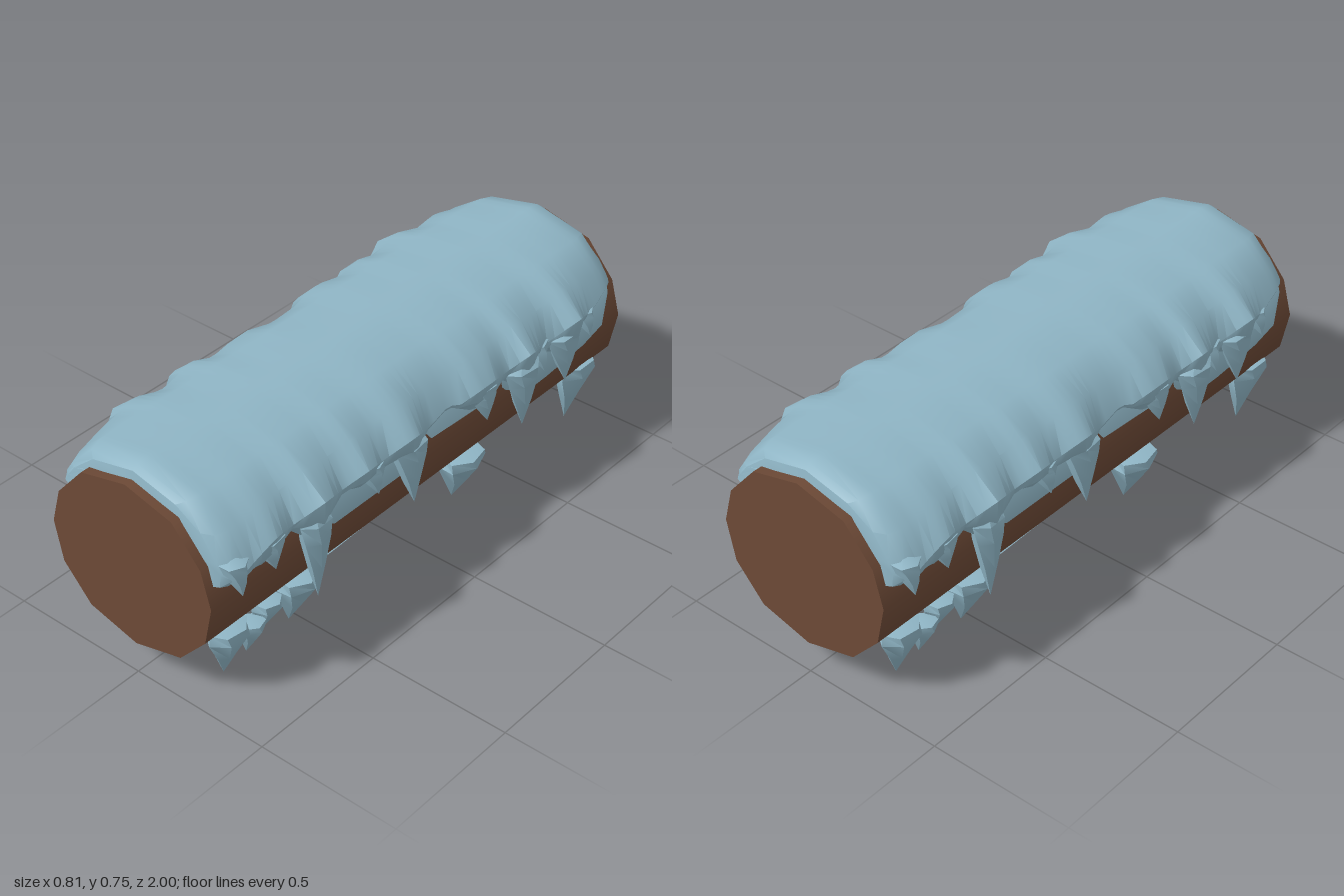
import * as THREE from 'three';
import { mergeVertices, toCreasedNormals } from 'three/addons/utils/BufferGeometryUtils.js';

const iceMat = new THREE.MeshStandardMaterial({ color: 0x8fb5c5, side: THREE.DoubleSide });
iceMat.name = 'ice';
const barkMat = new THREE.MeshStandardMaterial({ color: 0x6c4936 });
barkMat.name = 'bark';

// Right half of the log's outline, top to bottom
const LOG = [[0, 0.71], [0.18, 0.665], [0.285, 0.545], [0.32, 0.42], [0.29, 0.28], [0.185, 0.165], [0, 0.117]];

// Ice rim on the +x side: [z, half width, lower edge height]; the other side is this one turned half round
const RIM = [[-0.97, 0.31, 0.56], [-0.85, 0.34, 0.55], [-0.72, 0.37, 0.53], [-0.65, 0.403, 0.47], [-0.55, 0.35, 0.5],
  [-0.47, 0.37, 0.53], [-0.4, 0.403, 0.46], [-0.32, 0.355, 0.52], [-0.24, 0.375, 0.47], [-0.15, 0.38, 0.5], [-0.05, 0.34, 0.55],
  [0.06, 0.35, 0.53], [0.16, 0.39, 0.47], [0.2, 0.39, 0.52], [0.29, 0.36, 0.5], [0.39, 0.39, 0.52], [0.47, 0.36, 0.53],
  [0.6, 0.403, 0.45], [0.69, 0.36, 0.53], [0.79, 0.38, 0.48], [0.87, 0.37, 0.49], [0.97, 0.38, 0.48]];

// Linear lookup in a table sorted by column a
function lookup(table, v, a, b) {
  const up = table[0][a] < table[table.length - 1][a];
  for (let i = 0; i < table.length - 1; i++) {
    const p = table[i], q = table[i + 1];
    if (up ? v <= q[a] : v >= q[a]) {
      const t = THREE.MathUtils.clamp((v - p[a]) / (q[a] - p[a]), 0, 1);
      return p[b] + (q[b] - p[b]) * t;
    }
  }
  return table[table.length - 1][b];
}
const logX = y => lookup(LOG, y, 1, 0);

// Skin through rows of [x, y, z] points
function skin(rows, crease) {
  const n = rows[0].length, index = [];
  for (let r = 0; r < rows.length - 1; r++)
    for (let i = 0; i < n - 1; i++) {
      const a = r * n + i, c = a + n;
      index.push(a, a + 1, c, a + 1, c + 1, c);
    }
  const g = new THREE.BufferGeometry();
  g.setAttribute('position', new THREE.Float32BufferAttribute(rows.flat(2), 3));
  g.setIndex(index);
  return toCreasedNormals(mergeVertices(g), crease);
}

function add(group, name, geometry, material) {
  const mesh = new THREE.Mesh(geometry, material);
  mesh.name = name;
  group.add(mesh);
}

function makeLog() {
  const outline = [...LOG, ...LOG.slice(1, -1).reverse().map(([x, y]) => [-x, y])];
  const shape = new THREE.Shape(outline.map(p => new THREE.Vector2(...p)));
  const g = new THREE.ExtrudeGeometry(shape, { depth: 2, bevelEnabled: false });
  g.translate(0, 0, -1);
  g.deleteAttribute('uv');
  return toCreasedNormals(g, 0.65);
}

// One half of the cover's section, from the log under the rim up to the crown;
// close runs from 0 (full thickness) to 1 (lying on the log)
function halfSection(z, close) {
  const w = lookup(RIM, z, 0, 1), low = lookup(RIM, z, 0, 2);
  const drop = 0.05 * THREE.MathUtils.smoothstep(Math.abs(z), 0.75, 0.95);
  const widest = Math.max(0.61 - 1.1 * (0.403 - w) - drop, low + 0.02);
  const full = [[logX(low + 0.04) - 0.02, low + 0.04], [w - 0.035, low], [w - 0.004, (low + widest) / 2],
    [w, widest], [0.25 * w + 0.215, 0.497 + 0.45 * w - drop * 0.5], [0.2, 0.722 - drop * 0.1], [0, 0.752 + 0.012 * Math.abs(z) ** 6]];
  const onLog = [low, low + 0.01, 0.56, 0.6, 0.65, 0.68, 0.71].map(y => [logX(y), y]);
  return full.map(([x, y], i) => [x + (onLog[i][0] - x) * close, y + (onLog[i][1] - y) * close]);
}

function makeCover() {
  const ends = [[0.97, 1], [0.965, 0.45], [0.945, 0.15]];
  const stations = ends.map(([z, c]) => [-z, c]);
  for (let i = 0; i <= 60; i++) stations.push([-0.9 + i * 0.03, 0]);
  stations.push(...ends.reverse());
  const rows = stations.map(([z, c]) => {
    const near = halfSection(z, c), far = halfSection(-z, c).reverse().slice(1);
    return [...near, ...far.map(([x, y]) => [-x, y])].map(([x, y]) => [x, y, z]);
  });
  return skin(rows, 0.7);
}

// Thin sheet of ice lying on the log; edge rows are [z, low y, high y]
function makeFilm(edge) {
  const rows = edge.map(([z, low, high]) => {
    const ys = [low, ...LOG.map(p => p[1]).filter(y => y > 0.2 && y < 0.6).reverse(), high];
    return ys.map(y => {
      const h = THREE.MathUtils.clamp(y, low, high);
      return [logX(h) + 0.005, h - (h < 0.3 ? 0.004 : 0), z];
    });
  });
  return skin(rows.reverse(), 0.7);
}

// Leaning six-sided icicle from a blunt top to a sharp tip; widths are [height, radius] shares
const RIM_WIDTHS = [[0, 0], [0.35, 0.5], [0.65, 0.85], [0.85, 1], [1, 0]];
const UNDER_WIDTHS = [[0, 0], [0.4, 0.5], [0.8, 1], [0.95, 0.88], [1, 0]];
function makeIcicle(widths, [topX, topY, tipX, tipY, z, rx, rz]) {
  const rows = widths.map(([t, r], k) => {
    const ring = [];
    for (let i = 0; i <= 6; i++) {
      const a = -(i % 6) * Math.PI / 3 + k * 0.2 + z * 5;
      ring.push([tipX + (topX - tipX) * t + Math.cos(a) * r * rx, tipY + (topY - tipY) * t, z + Math.sin(a) * r * rz]);
    }
    return ring;
  });
  return skin(rows, 0.8);
}

// Sheets and icicles of the +x side
function makeSide() {
  const side = new THREE.Group();

  // Frozen sheets below the rim and near the underside
  const H = 0.59;
  const sheets = [
    [[0.53, 0.48, H], [0.5, 0.43, H], [0.47, 0.415, H], [0.1, 0.415, H], [0.06, 0.5, H]],
    [[0.03, 0.5, H], [0, 0.46, H], [-0.28, 0.45, H], [-0.32, 0.52, H]],
    [[-0.36, 0.46, H], [-0.44, 0.37, H], [-0.6, 0.375, H], [-0.8, 0.4, H], [-0.9, 0.43, H], [-0.96, 0.52, H]],
    [[0.63, 0.17, 0.2], [0.52, 0.175, 0.235], [0.42, 0.175, 0.25], [0.2, 0.18, 0.2]],
  ];
  sheets.forEach(edge => add(side, 'iceSheet', makeFilm(edge), iceMat));

  // Icicles hanging from the rim: [z, tip height, half length along the log]
  const hanging = [[0.6, 0.245, 0.065], [0.15, 0.33, 0.075], [-0.4, 0.32, 0.08], [-0.63, 0.37, 0.08], [0.92, 0.45, 0.05],
    [0.78, 0.46, 0.06], [0.32, 0.46, 0.06], [-0.21, 0.44, 0.07], [-0.51, 0.47, 0.05], [-0.76, 0.48, 0.05]];
  hanging.forEach(([z, tip, rz]) => {
    const w = lookup(RIM, z, 0, 1);
    add(side, 'rimIcicle', makeIcicle(RIM_WIDTHS, [w - 0.045, 0.58, 0.37, tip, z, 0.045, rz]), iceMat);
  });

  // Icicles under the log: top x, top y, tip x, tip y, z, half width, half length
  const under = [
    [0.25, 0.24, 0.22, 0.035, 0.86, 0.06, 0.08], [0.25, 0.19, 0.22, 0.05, 0.76, 0.045, 0.05],
    [0.25, 0.23, 0.21, 0.075, 0.69, 0.05, 0.055], [0.23, 0.22, 0.185, 0.005, 0.53, 0.07, 0.085],
    [0.23, 0.215, 0.185, 0.01, -0.28, 0.07, 0.095], [0.265, 0.295, 0.225, 0.035, -0.855, 0.055, 0.09],
  ];
  under.forEach(p => add(side, 'underIcicle', makeIcicle(UNDER_WIDTHS, p), iceMat));
  return side;
}

export function createModel() {
  const model = new THREE.Group();
  model.name = 'icyLog';
  add(model, 'log', makeLog(), barkMat);
  add(model, 'iceCover', makeCover(), iceMat);

  // Both sides carry the same ice, turned half round
  ['leftIce', 'rightIce'].forEach((name, i) => {
    const side = makeSide();
    side.name = name;
    side.rotation.y = i * Math.PI;
    model.add(side);
  });

  // Small cluster under the front end
  const cluster = [[0, 0.16, 0, 0.05, 0.78, 0.075, 0.06], [-0.09, 0.17, -0.1, 0.08, 0.72, 0.045, 0.045],
    [0.09, 0.17, 0.1, 0.09, 0.82, 0.045, 0.04]];
  cluster.forEach(p => add(model, 'underIcicle', makeIcicle(UNDER_WIDTHS, p), iceMat));
  return model;
}
